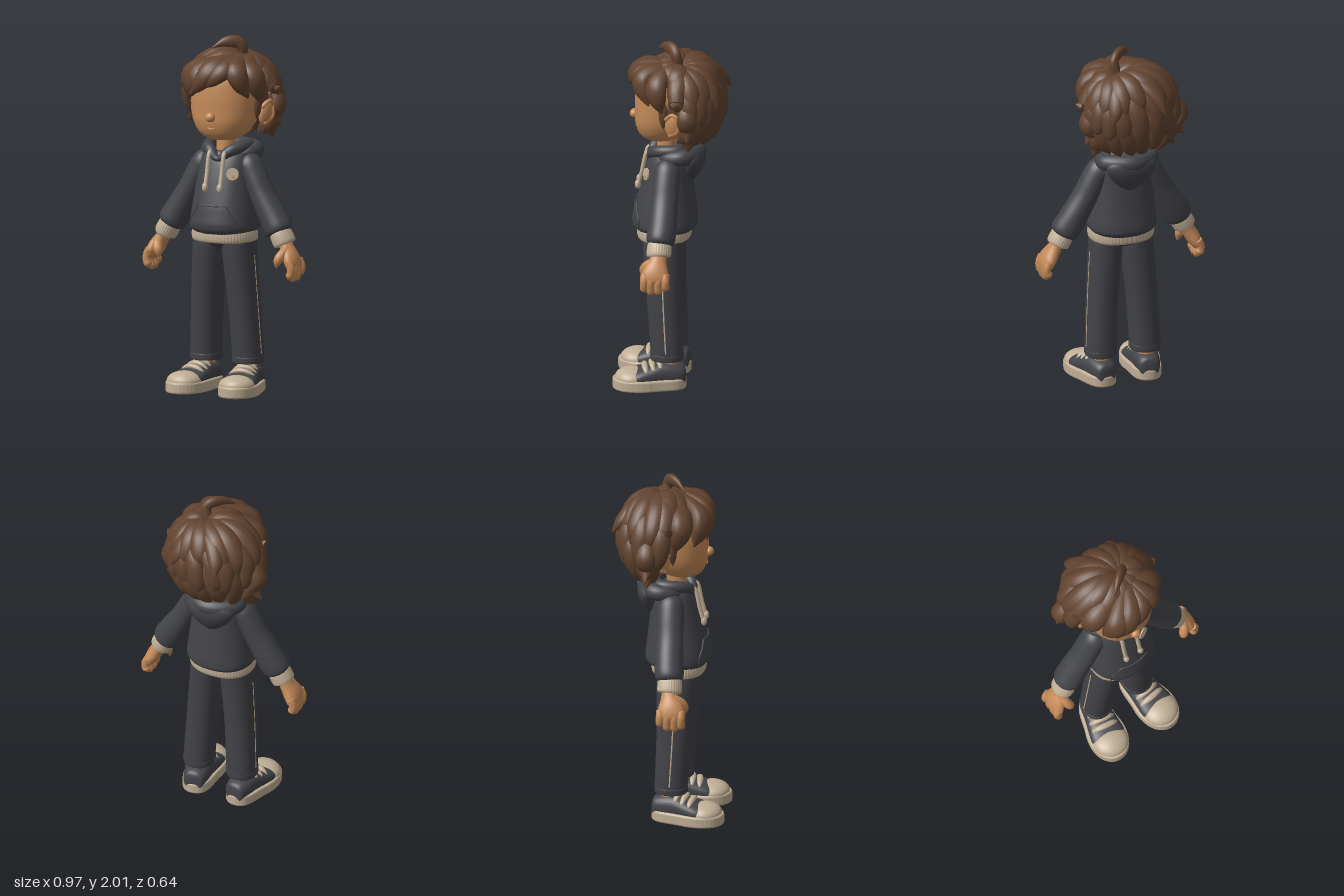
import * as THREE from 'three';

const V = (x, y, z) => new THREE.Vector3(x, y, z);
const mat = (name, color) => Object.assign(new THREE.MeshStandardMaterial({ color }), { name });
const X = V(1, 0, 0), Y = V(0, 1, 0), Z = V(0, 0, 1);
const even = (n, r) => Array.from({ length: n }, () => [r, r]);

// Lofted tube: ellipse sections [width, thickness] along a smooth path.
// thick(p) gives the thickness direction; axis fixes the section normal.
function tube(path, radii, thick, { seg = 20, rings = 24, rib = 0, e = 2, axis = null, closed = false } = {}) {
  const curve = new THREE.CatmullRomCurve3(path.map(p => V(...p)), closed, 'catmullrom', 0.5);
  const size = new THREE.CatmullRomCurve3(radii.map(r => V(r[0], r[1], 0)), closed, 'catmullrom', 0.5);
  const pos = [], idx = [];
  const bend = c => Math.sign(c) * Math.abs(c) ** (2 / e);
  for (let i = 0; i <= rings; i++) {
    const t = i / rings, p = curve.getPoint(t), r = size.getPoint(t);
    const T = axis || curve.getTangent(t);
    const N = thick(p).clone().addScaledVector(T, -thick(p).dot(T)).normalize();
    const B = N.clone().cross(T).normalize();
    for (let j = 0; j < seg; j++) {
      const a = j / seg * Math.PI * 2, k = 1 + rib * Math.cos(a * seg / 4);
      const q = p.clone().addScaledVector(B, Math.max(r.x, 0.001) * k * bend(Math.cos(a)))
        .addScaledVector(N, Math.max(r.y, 0.001) * k * bend(Math.sin(a)));
      pos.push(q.x, q.y, q.z);
    }
  }
  for (let i = 0; i < rings; i++) for (let j = 0; j < seg; j++) {
    const a = i * seg + j, b = i * seg + (j + 1) % seg;
    idx.push(a, b, a + seg, b, b + seg, a + seg);
  }
  if (!closed) for (const t of [0, 1]) {
    const c = pos.length / 3, p = curve.getPoint(t), start = t * rings * seg;
    pos.push(p.x, p.y, p.z);
    for (let j = 0; j < seg; j++) {
      const a = start + j, b = start + (j + 1) % seg;
      if (t) idx.push(c, a, b); else idx.push(c, b, a);
    }
  }
  const g = new THREE.BufferGeometry();
  g.setAttribute('position', new THREE.Float32BufferAttribute(pos, 3));
  g.setIndex(idx);
  g.computeVertexNormals();
  return g;
}

// Upright loft from rows [y, halfWidth, halfDepth, centreZ, centreX]
const loft = (rows, opts = {}) => tube(rows.map(r => [r[4] || 0, r[0], r[3]]), rows.map(r => [r[1], r[2]]),
  () => Z, { axis: Y, seg: 40, rings: rows.length * 6, ...opts });

const TORSO = [[0.9, 0.165, 0.15, 0.05], [0.925, 0.19, 0.175, 0.045], [0.96, 0.195, 0.18, 0.045], [1.05, 0.185, 0.168, 0.043],
  [1.2, 0.165, 0.142, 0.033], [1.31, 0.152, 0.12, 0.02], [1.36, 0.125, 0.095, 0.015], [1.365, 0.06, 0.06, 0.015]];
// Depth of the hoodie front at (x, y)
function torsoZ(x, y) {
  let i = 0;
  while (i < TORSO.length - 2 && TORSO[i + 1][0] < y) i++;
  const [a, b] = [TORSO[i], TORSO[i + 1]], t = (y - a[0]) / (b[0] - a[0]);
  const m = k => a[k] + (b[k] - a[k]) * t;
  return m(3) + m(2) * Math.max(0, 1 - Math.abs(x / m(1)) ** 2.3) ** (1 / 2.3);
}

export function createModel() {
  const skin = mat('skin', 0xc48a58), hair = mat('hair brown', 0x62432f), cloth = mat('hoodie charcoal', 0x434449),
    denim = mat('trouser charcoal', 0x424247), cream = mat('cream', 0xc0ae95);
  cloth.side = THREE.DoubleSide;
  const model = new THREE.Group();
  const add = (name, geo, m, parent = model) => {
    const mesh = new THREE.Mesh(geo, m);
    mesh.name = name;
    parent.add(mesh);
    return mesh;
  };
  const ball = (name, m, p, s, parent) => {
    const b = add(name, new THREE.SphereGeometry(1, 28, 20), m, parent);
    b.position.set(...p);
    b.scale.set(...s);
    return b;
  };

  // Head
  add('head', loft([[1.425, 0.03, 0.03, 0.08], [1.437, 0.085, 0.085, 0.075], [1.47, 0.138, 0.13, 0.065], [1.53, 0.175, 0.165, 0.05],
    [1.6, 0.193, 0.18, 0.037], [1.7, 0.196, 0.185, 0.03], [1.79, 0.18, 0.17, 0.03], [1.85, 0.13, 0.13, 0.02], [1.88, 0.03, 0.03, 0.02]], { e: 2.2 }), skin);
  add('neck', loft([[1.3, 0.06, 0.06, 0.04], [1.37, 0.053, 0.055, 0.04], [1.47, 0.056, 0.058, 0.03]]), skin);
  ball('nose', skin, [0, 1.57, 0.222], [0.029, 0.027, 0.026]);
  add('mouth', tube([[-0.024, 1.507, 0.206], [0, 1.499, 0.21], [0.024, 1.507, 0.206]], even(2, 0.005), () => Y, { seg: 8 }), skin);

  // Hair: base cap, then layers of locks running out from the crown
  ball('hairCap', hair, [-0.005, 1.67, -0.07], [0.23, 0.22, 0.185]);
  const C = V(-0.01, 1.66, -0.05), R = V(0.245, 0.23, 0.2), crown = V(0.3, 0.95, 0.08).normalize();
  const strand = (pts, w) => add('hairLock', tube(pts, [0.3, 0.8, 1, 1, 0.75, 0.08].map(k => [w * k, Math.min(0.048, w * 0.75) * k]),
    p => p.clone().sub(C).normalize(), { seg: 16, rings: 22 }), hair);
  let seed = 7;
  const jitter = n => n * ((seed = (seed * 16807) % 2147483647) / 2147483647 - 0.5);
  // Lock from the crown towards an azimuth and elevation, flaring off the skull at its tip
  function lock(azimuth, elevation, from, w, flare) {
    const az = THREE.MathUtils.degToRad(azimuth), el = THREE.MathUtils.degToRad(elevation);
    const end = V(Math.sin(az) * Math.cos(el), Math.sin(el), Math.cos(az) * Math.cos(el));
    const spin = crown.clone().cross(end).normalize(), angle = crown.angleTo(end);
    strand([0, 0.25, 0.5, 0.78, 1].map(k => crown.clone().applyAxisAngle(spin, angle * (from + (1 - from) * k))
      .applyAxisAngle(Y, Math.sin(k * Math.PI) * 0.15).multiply(R)
      .multiplyScalar(0.98 + 0.07 * Math.sin(k * Math.PI) + (flare - 0.98) * k ** 3).add(C).toArray()), w);
  }
  for (let a = 105; a <= 255; a += 21) lock(a + jitter(10), -56 + jitter(8), 0.5, 0.05, 1.2 + jitter(0.12));
  for (let a = 98; a <= 262; a += 20.5) lock(a + jitter(12), -28 + jitter(16), 0.32, 0.053, 1.13 + jitter(0.12));
  for (let a = 82; a <= 278; a += 24.5) lock(a + jitter(12), 4 + jitter(20), 0.05, 0.058, 1.1 + jitter(0.1));
  for (let a = -75; a <= 75; a += 30) lock(a, 30, 0, 0.06, 1.08);
  lock(200, 8, 0.2, 0.05, 1.4);
  lock(145, 2, 0.2, 0.05, 1.3);
  // Swept fringe: middle point, tip and width of each lock
  const fringe = [
    [[-0.09, 1.81, 0.19], [-0.175, 1.66, 0.16], 0.072], [[-0.01, 1.83, 0.195], [-0.13, 1.69, 0.225], 0.064],
    [[0.07, 1.837, 0.19], [-0.05, 1.735, 0.235], 0.052], [[0.135, 1.825, 0.165], [0.19, 1.68, 0.125], 0.06],
    [[0.2, 1.8, 0.08], [0.225, 1.65, 0.05], 0.062], [[-0.185, 1.8, 0.09], [-0.215, 1.63, 0.05], 0.066]];
  for (const [mid, tip, w] of fringe) strand([[0.08, 1.89, 0.02], mid, tip], w);
  // Side curls: side, top height, drop, reach
  for (const [s, top, drop, reach] of [[-1, 1.74, 0.255, 0.12], [-1, 1.66, 0.23, 0.07], [1, 1.74, 0.24, 0.08], [1, 1.64, 0.21, 0.04]])
    strand([0, 0.7, 1, 0.7, 1.15].map((k, i) => [s * (0.18 + reach * k), top - drop * i / 4, -0.1]), 0.056);
  // Temple flicks
  strand([[0.14, 1.86, -0.05], [0.22, 1.8, -0.04], [0.265, 1.72, -0.04], [0.305, 1.73, -0.04]], 0.045);
  strand([[-0.14, 1.85, 0], [-0.21, 1.8, 0.01], [-0.245, 1.76, 0.02], [-0.285, 1.8, 0.02]], 0.04);
  add('topCurl', tube([[0.06, 1.88, -0.03], [0.07, 1.94, -0.02], [0.045, 1.972, 0], [-0.005, 1.972, 0.045], [-0.06, 1.943, 0.09]],
    [[0.03, 0.03], [0.034, 0.026], [0.033, 0.022], [0.003, 0.003]], () => V(0.7, 0.2, 0.7), { seg: 14 }), hair);

  // Hoodie body, hem and front pocket
  add('hoodieBody', loft(TORSO, { e: 2.3, seg: 56 }), cloth);
  add('hoodieHem', loft([[0.85, 0.165, 0.13, 0.052], [0.858, 0.182, 0.148, 0.052], [0.89, 0.187, 0.152, 0.052], [0.925, 0.182, 0.15, 0.05]],
    { e: 2.3, seg: 224, rib: 0.008, rings: 8 }), cream);
  const pocketHalf = y => 0.14 - 0.055 * Math.max(0, (y - 0.98) / 0.085);
  const pocket = new THREE.PlaneGeometry(2, 1, 24, 12), pp = pocket.attributes.position;
  for (let i = 0; i < pp.count; i++) {
    const y = 1 + pp.getY(i) * 0.13, x = pp.getX(i) * pocketHalf(y);
    pp.setXYZ(i, x, y, torsoZ(x, y) + 0.009);
  }
  pocket.computeVertexNormals();
  add('pocket', pocket, cloth);
  const pocketSide = s => [0.935, 0.98, 1.02, 1.065].map(y => [s * pocketHalf(y), y]);
  const edge = [...pocketSide(-1), [-0.03, 1.065], [0.03, 1.065], ...pocketSide(1).reverse()];
  add('pocketEdge', tube(edge.map(([x, y]) => [x, y, torsoZ(x, y) + 0.007]), even(2, 0.005), () => Z, { seg: 8, rings: 60 }), cloth);

  // Hood: neck roll, outer roll and the hanging sack
  const collarSide = [[0.06, 1.365, 0.11], [0.105, 1.385, 0.05], [0.1, 1.39, -0.04]];
  const rollSide = [[0.1, 1.345, 0.08], [0.132, 1.352, 0.01], [0.125, 1.36, -0.075]];
  const mirrored = (half, back) => [...half, back, ...half.map(([x, y, z]) => [-x, y, z]).reverse()];
  add('hoodCollar', tube([[0, 1.322, 0.13], ...mirrored(collarSide, [0, 1.385, -0.08])],
    [[0.022, 0.018], ...even(7, 0.033)], () => Y, { closed: true, rings: 64 }), cloth);
  add('hoodRoll', tube(mirrored(rollSide, [0, 1.36, -0.135]),
    [0.01, 0.04, 0.048, 0.051, 0.048, 0.04, 0.01].map(r => [r, r]), () => Y, { rings: 48 }), cloth);
  add('hoodSack', tube([[0, 1.4, -0.09], [0, 1.35, -0.11], [0, 1.29, -0.105], [0, 1.23, -0.095], [0, 1.18, -0.085]],
    [[0.1, 0.04], [0.15, 0.068], [0.13, 0.066], [0.08, 0.045], [0.015, 0.015]], () => Z, { seg: 32 }), cloth);

  // Chest badge
  const badge = new THREE.Group();
  badge.name = 'badge';
  badge.position.set(0.1, 1.245, torsoZ(0.1, 1.245) + 0.007);
  badge.rotation.set(-0.15, 0.45, 0);
  model.add(badge);
  add('badgeDisc', new THREE.CylinderGeometry(0.035, 0.035, 0.009, 28).rotateX(Math.PI / 2), cream, badge);
  add('badgeDot', new THREE.CylinderGeometry(0.01, 0.01, 0.005, 16).rotateX(Math.PI / 2), skin, badge).position.set(0.006, -0.017, 0.004);

  // Trouser seat
  add('trouserSeat', loft([[0.815, 0.1, 0.07, 0.05], [0.835, 0.15, 0.1, 0.05], [0.88, 0.172, 0.125, 0.05], [0.9, 0.15, 0.11, 0.05]], { e: 2.3 }), denim);

  // Everything that comes in pairs
  for (const s of [1, -1]) {
    const flip = pts => pts.map(p => [p[0] * s, p[1], p[2]]);
    // Ear, sideburn and drawstring
    ball('ear', skin, [s * 0.224, 1.58, -0.015], [0.027, 0.072, 0.045]).rotation.set(-0.15, -s * 0.35, -s * 0.15);
    add('earRim', tube(flip([[0.222, 1.52, 0.005], [0.245, 1.555, -0.045], [0.257, 1.62, -0.052], [0.247, 1.65, -0.015], [0.222, 1.615, 0.025]]),
      even(2, 0.012), () => X, { seg: 8 }), skin);
    strand(flip([[0.198, 1.72, 0.045], [0.203, 1.64, 0.04], [0.197, 1.55, 0.042]]), 0.026);
    const x = s * 0.047;
    add('drawstring', tube([[x, 1.365, 0.135], [x, 1.34, 0.155], [x, 1.25, torsoZ(x, 1.25) + 0.018], [x, 1.17, torsoZ(x, 1.17) + 0.016]],
      even(2, 0.012), () => Z, { seg: 10 }), cream);
    ball('stringTip', cream, [x, 1.165, torsoZ(x, 1.165) + 0.018], [0.017, 0.027, 0.017]);

    // Arm and hand
    add('sleeve', tube(flip([[0.1, 1.33, 0.02], [0.135, 1.298, 0.022], [0.175, 1.23, 0.025], [0.23, 1.125, 0.03], [0.3, 1.005, 0.035], [0.342, 0.935, 0.042], [0.355, 0.912, 0.044]]),
      [[0.03, 0.03], [0.07, 0.066], [0.076, 0.071], [0.077, 0.071], [0.081, 0.08], [0.079, 0.081], [0.055, 0.055]], () => X, { seg: 32, rings: 36 }), cloth);
    add('cuff', tube(flip([[0.345, 0.93, 0.045], [0.355, 0.912, 0.046], [0.38, 0.865, 0.048], [0.385, 0.855, 0.048]]),
      [[0.06, 0.055], [0.067, 0.062], [0.068, 0.063], [0.056, 0.05]], () => X, { seg: 112, rib: 0.015, rings: 10 }), cream);
    add('palm', tube(flip([[0.375, 0.88, 0.048], [0.4, 0.835, 0.052], [0.43, 0.785, 0.06], [0.449, 0.745, 0.064], [0.455, 0.72, 0.064]]),
      [[0.042, 0.036], [0.05, 0.038], [0.072, 0.041], [0.078, 0.035], [0.065, 0.022]], () => X, { seg: 28 }), skin);
    for (const [z, tip] of [[0.004, 0.68], [0.044, 0.656], [0.085, 0.654], [0.122, 0.668]])
      add('finger', tube(flip([[0.445, 0.775, z], [0.461, 0.74, z], [0.461, 0.71, z], [0.452, tip + 0.018, z], [0.443, tip, z]]),
        even(4, 0.023).concat([[0.005, 0.005]]), () => X, { seg: 14 }), skin);
    add('thumb', tube(flip([[0.41, 0.835, 0.075], [0.397, 0.805, 0.115], [0.382, 0.77, 0.132], [0.373, 0.732, 0.135]]),
      [[0.026, 0.026], [0.027, 0.027], [0.025, 0.025], [0.004, 0.004]], () => X, { seg: 14 }), skin);

    // Leg
    const leg = [[0.175, 0.086, 0.092, 0.025, 0.134 * s], [0.22, 0.086, 0.093, 0.025, 0.133 * s], [0.5, 0.087, 0.1, 0.04, 0.118 * s],
      [0.78, 0.092, 0.112, 0.05, 0.096 * s], [0.88, 0.09, 0.115, 0.05, 0.09 * s]];
    add('trouserLeg', loft(leg, { e: 2.2 }), denim);
    add('trouserHem', loft([[0.165, 0.08], [0.17, 0.087], [0.198, 0.088], [0.203, 0.085]].map(([y, r]) => [y, r, r + 0.006, 0.025, 0.134 * s]), { e: 2.2 }), denim);
    add('sideStripe', tube(leg.slice(1, 4).map(r => [r[4] + s * r[1], r[0], r[3]]), [[0.004, 0.002], [0.004, 0.002]], () => X, { seg: 8 }), cream);
    add('ankle', loft([[0.1, 0.045, 0.05, 0.01, 0.135 * s], [0.2, 0.045, 0.05, 0.015, 0.135 * s]]), skin);

    // Shoe
    const shoe = new THREE.Group();
    shoe.name = 'shoe';
    shoe.position.x = s * 0.137;
    shoe.rotation.y = s * 0.14;
    model.add(shoe);
    const soleShape = new THREE.Shape();
    soleShape.moveTo(0, 0.075);
    soleShape.bezierCurveTo(0.09, 0.075, 0.07, -0.04, 0.097, -0.13);
    soleShape.bezierCurveTo(0.14, -0.385, -0.14, -0.385, -0.097, -0.13);
    soleShape.bezierCurveTo(-0.07, -0.04, -0.09, 0.075, 0, 0.075);
    const sole = new THREE.ExtrudeGeometry(soleShape, { depth: 0.04, bevelSize: 0.01, bevelThickness: 0.012, bevelSegments: 4, curveSegments: 20 });
    add('sole', sole.rotateX(-Math.PI / 2).translate(0, 0.012, 0), cream, shoe);
    // Upper: [z, half width, top height], floor kept inside the sole
    const upper = [[-0.08, 0.03, 0.1], [-0.068, 0.056, 0.132], [-0.02, 0.07, 0.148], [0.05, 0.078, 0.156], [0.12, 0.09, 0.138], [0.2, 0.098, 0.112], [0.26, 0.06, 0.09]];
    add('shoeUpper', tube(upper.map(([z, , h]) => [0, (h + 0.02) / 2, z]), upper.map(([, w, h]) => [w, (h - 0.02) / 2]),
      () => Y, { seg: 32, e: 2.4, axis: Z }), cloth, shoe);
    ball('toeCap', cream, [0, 0.063, 0.22], [0.102, 0.056, 0.098], shoe);
    for (const [z, y, w] of [[0.072, 0.162, 0.062], [0.112, 0.15, 0.07], [0.152, 0.135, 0.077]])
      add('lace', tube([-1, -0.6, 0, 0.6, 1].map(k => [k * w, y - 0.034 * Math.abs(k) ** 2.5, z - 0.01 * k * k]),
        [[0.01, 0.008], [0.017, 0.014], [0.017, 0.014], [0.01, 0.008]], () => Y, { seg: 12 }), cream, shoe);
  }
  return model;
}
